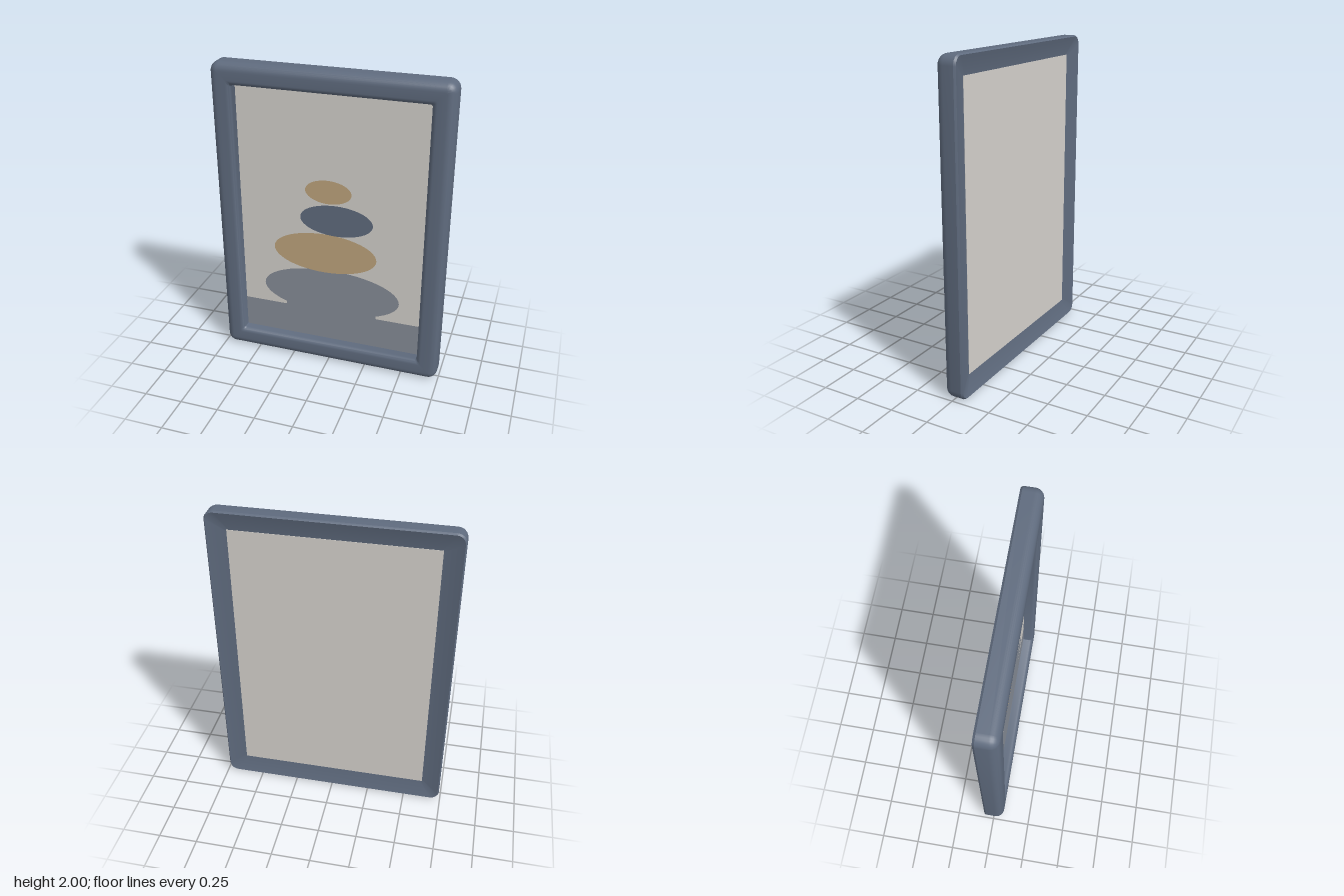
import * as THREE from 'three';
import { toCreasedNormals } from 'three/addons/utils/BufferGeometryUtils.js';

const W = 0.74, H = 1; // outer half width and half height

const mat = (name, color) => {
  const m = new THREE.MeshStandardMaterial({ color });
  m.name = name;
  return m;
};

// Rounded rectangle, counter-clockwise, inset by d from the outer edge
function outline(d) {
  const r = Math.max(0.06 - d, 0.012), w = W - d - r, h = H - d - r, pts = [];
  [[1, 1], [-1, 1], [-1, -1], [1, -1]].forEach(([sx, sy], q) => {
    for (let i = 0; i <= 6; i++) {
      const a = (q + i / 6) * Math.PI / 2;
      pts.push([sx * w + r * Math.cos(a), sy * h + r * Math.sin(a)]);
    }
  });
  return pts;
}

// Bar cross-section as [inset, z]: outer wall, rounded front, inner wall, sloping back
function barProfile() {
  const p = [[0.008, -0.067], [0, -0.055]];
  for (let i = 0; i <= 8; i++) {
    const a = i / 8 * Math.PI / 2;
    p.push([0.055 * (1 - Math.cos(a)), 0.012 + 0.055 * Math.sin(a)]);
  }
  for (let i = 0; i <= 6; i++) {
    const a = i / 6 * Math.PI / 2;
    p.push([0.105 + 0.03 * Math.sin(a), 0.037 + 0.03 * Math.cos(a)]);
  }
  p.push([0.135, -0.034], [0.12, -0.034]);
  return p;
}

// Sweep the cross-section round the outline
function frameGeometry() {
  const profile = barProfile(), pos = [], idx = [];
  const n = outline(0).length, m = profile.length;
  for (const [d, z] of profile) for (const [x, y] of outline(d)) pos.push(x, y + H, z);
  for (let j = 0; j < m; j++) {
    const k = (j + 1) % m;
    for (let i = 0; i < n; i++) {
      const l = (i + 1) % n;
      const a = j * n + i, b = j * n + l, c = k * n + l, e = k * n + i;
      idx.push(a, b, c, a, c, e);
    }
  }
  const g = new THREE.BufferGeometry();
  g.setAttribute('position', new THREE.Float32BufferAttribute(pos, 3));
  g.setIndex(idx);
  return toCreasedNormals(g, 0.5);
}

export function createModel() {
  const group = new THREE.Group();
  const slate = mat('slate blue', 0x5f6b7e);
  const paper = mat('warm paper', 0xd3d0cb);
  const tan = mat('sand', 0xbea47c);
  const grey = mat('stone grey', 0x868c96);

  const add = (name, geo, material, x = 0, y = 0, z = 0) => {
    const mesh = new THREE.Mesh(geo, material);
    mesh.name = name;
    mesh.position.set(x, y, z);
    group.add(mesh);
  };

  add('frame', frameGeometry(), slate);

  // Picture panel; the painted shapes lie just in front of it
  const front = -0.008, back = -0.036;
  add('picturePanel', new THREE.BoxGeometry(1.236, 1.756, front - back), paper, 0, 1, (front + back) / 2);
  add('ground', new THREE.PlaneGeometry(1.22, 0.225), grey, 0, 0.2425, front + 0.0015);
  add('stoneNeck', new THREE.PlaneGeometry(0.62, 0.04), grey, 0, 0.365, front + 0.0015);

  // Stacked stones: name, material, centre x, centre y, radius x, radius y
  [
    ['bottomStone', grey, 0, 0.5, 0.46, 0.168],
    ['lowerStone', tan, -0.04, 0.79, 0.343, 0.14],
    ['upperStone', slate, 0.037, 1.033, 0.238, 0.106],
    ['topStone', tan, -0.015, 1.226, 0.15, 0.079],
  ].forEach(([name, material, x, y, rx, ry], i) => {
    const geo = new THREE.CircleGeometry(1, 48).scale(rx, ry, 1);
    add(name, geo, material, x, y, front + 0.003 + i * 0.0015);
  });

  return group;
}
